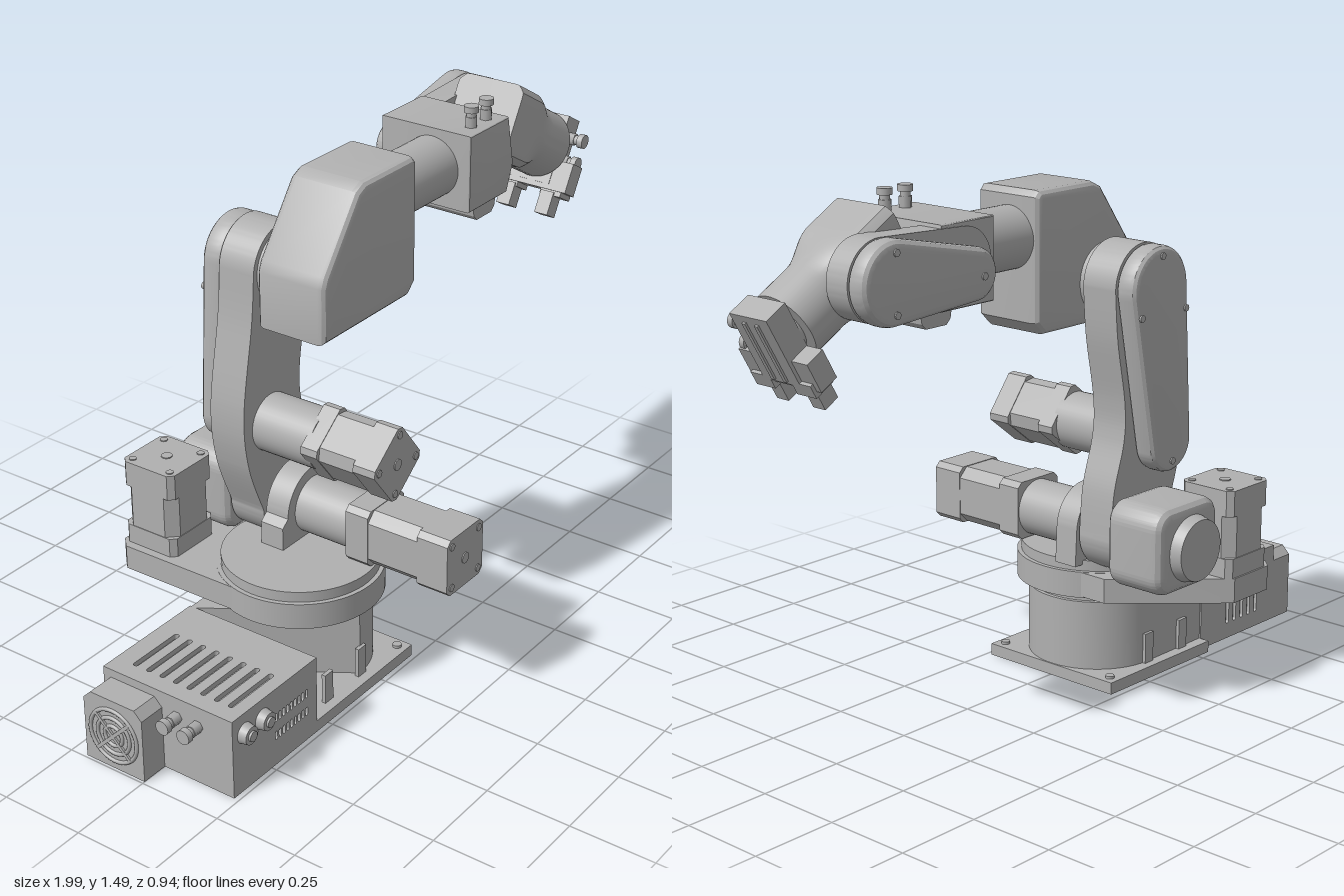
import * as THREE from 'three';
import { toCreasedNormals } from 'three/addons/utils/BufferGeometryUtils.js';

const grey = new THREE.MeshStandardMaterial({ color: 0xb0b0b0 });
grey.name = 'machine grey';

function add(parent, name, geo, x = 0, y = 0, z = 0) {
  const mesh = new THREE.Mesh(geo, grey);
  mesh.name = name;
  mesh.position.set(x, y, z);
  parent.add(mesh);
  return mesh;
}

// Box given by its limits
function box(parent, name, x0, x1, y0, y1, z0, z1) {
  return add(parent, name, new THREE.BoxGeometry(x1 - x0, y1 - y0, z1 - z0),
    (x0 + x1) / 2, (y0 + y1) / 2, (z0 + z1) / 2);
}

// Cylinder along an axis; r1 is the radius at the positive end
function cyl(axis, r1, r0, h, sides = 40) {
  const g = new THREE.CylinderGeometry(r1, r0, h, sides);
  if (axis === 'x') g.rotateZ(-Math.PI / 2);
  if (axis === 'z') g.rotateX(Math.PI / 2);
  return g;
}

// Extrusion from z0 to z1, with the bevel kept inside the outline
function extrude(shape, z0, z1, bevel = 0) {
  const g = new THREE.ExtrudeGeometry(shape, {
    depth: z1 - z0 - 2 * bevel, bevelEnabled: bevel > 0, bevelSize: bevel,
    bevelThickness: bevel, bevelOffset: -bevel, bevelSegments: 3, curveSegments: 24,
  });
  g.translate(0, 0, z0 + bevel);
  return toCreasedNormals(g, 0.5);
}

const poly = (pts) => new THREE.Shape(pts.map((p) => new THREE.Vector2(...p)));

function roundRect(x, y, w, h, r, target = new THREE.Shape()) {
  const a = x - w / 2, b = x + w / 2, c = y - h / 2, d = y + h / 2, q = Math.PI / 2;
  target.absarc(b - r, c + r, r, -q, 0);
  target.absarc(b - r, d - r, r, 0, q);
  target.absarc(a + r, d - r, r, q, 2 * q);
  target.absarc(a + r, c + r, r, 2 * q, 3 * q);
  target.closePath();
  return target;
}

// Two circles joined by their tangents
function capsule(x1, y1, r1, x2, y2, r2) {
  const phi = Math.atan2(y2 - y1, x2 - x1);
  const al = Math.acos((r1 - r2) / Math.hypot(x2 - x1, y2 - y1));
  const s = new THREE.Shape();
  s.absarc(x1, y1, r1, phi + al, phi - al + 2 * Math.PI);
  s.absarc(x2, y2, r2, phi - al, phi + al);
  s.closePath();
  return s;
}

// Flat panel centred on the origin with rounded slots [x, y, w, h]
function slottedPanel(w, h, t, slots) {
  const s = poly([[-w / 2, -h / 2], [w / 2, -h / 2], [w / 2, h / 2], [-w / 2, h / 2]]);
  for (const [x, y, sw, sh] of slots) {
    s.holes.push(roundRect(x, y, sw, sh, Math.min(sw, sh) * 0.49, new THREE.Path()));
  }
  return new THREE.ExtrudeGeometry(s, { depth: t, bevelEnabled: false, curveSegments: 4 });
}

function cornerCut(s, c) {
  const h = s / 2, k = h - c;
  return poly([[k, -h], [h, -k], [h, k], [k, h], [-k, h], [-h, k], [-h, -k], [-k, -h]]);
}

// Stepper motor along +z from z = 0, with end caps, hub and screws
function motor(name, s, len) {
  const g = new THREE.Group();
  g.name = name;
  add(g, 'motorCore', extrude(cornerCut(s * 0.98, s * 0.17), 0, len - 0.005));
  add(g, 'motorFlange', extrude(cornerCut(s, s * 0.09), 0, len * 0.22));
  add(g, 'motorEndCap', extrude(cornerCut(s, s * 0.09), len * 0.7, len - 0.003));
  add(g, 'motorHub', cyl('z', 0.016, 0.016, 0.01, 20), 0, 0, len - 0.005);
  for (const x of [-1, 1]) for (const y of [-1, 1]) {
    add(g, 'motorScrew', cyl('z', 0.011, 0.011, 0.01, 12), x * s * 0.37, y * s * 0.37, len - 0.005);
  }
  return g;
}

// Push-in hose fitting along +y from y = 0
function fitting(parent, x, y, z, rx = 0, rz = 0, k = 1) {
  const g = new THREE.Group();
  g.name = 'hoseFitting';
  add(g, 'fittingNut', cyl('y', 0.018, 0.018, 0.03, 6), 0, 0.015, 0);
  add(g, 'fittingNeck', cyl('y', 0.014, 0.014, 0.02, 16), 0, 0.035, 0);
  add(g, 'fittingCollar', cyl('y', 0.021, 0.021, 0.018, 20), 0, 0.052, 0);
  g.position.set(x, y, z);
  g.rotation.set(rx, 0, rz);
  g.scale.setScalar(k);
  parent.add(g);
}

function buildBase(root) {
  const g = new THREE.Group();
  g.name = 'base';
  root.add(g);
  const AX = -0.3;
  box(g, 'basePlate', -0.55, -0.1, 0, 0.035, -0.23, 0.235);
  for (const z of [-0.2, 0.205]) add(g, 'plateBolt', cyl('y', 0.013, 0.013, 0.01, 12), -0.13, 0.038, z);
  // Column with a round right end
  const col = new THREE.Shape();
  col.moveTo(-0.56, -0.195);
  col.absarc(AX, 0, 0.197, -Math.PI / 2, Math.PI / 2);
  col.lineTo(-0.56, 0.195);
  add(g, 'column', extrude(col, 0.03, 0.24).rotateX(-Math.PI / 2));
  for (const x of [-0.455, -0.3]) for (const s of [-1, 1]) {
    box(g, 'boltPocket', x - 0.018, x + 0.018, 0.03, 0.125, s * 0.2 - 0.006, s * 0.2 + 0.006);
  }
  add(g, 'neck', cyl('y', 0.185, 0.185, 0.04, 64), AX, 0.25, 0);
  // Electronics box with vented panels
  box(g, 'electronicsBox', -0.91, -0.55, 0, 0.225, -0.19, 0.225);
  const top = [], front = [], back = [];
  for (let i = 0; i < 8; i++) top.push([-0.04, -0.17 + i * 0.046, 0.18, 0.016]);
  for (let i = 0; i < 9; i++) for (const y of [-0.02, 0.037]) front.push([0.002 + i * 0.0165, y, 0.01, 0.026]);
  for (let i = 0; i < 5; i++) back.push([-0.09 + i * 0.035, 0, 0.014, 0.13]);
  add(g, 'topPanel', slottedPanel(0.36, 0.435, 0.015, top).rotateX(-Math.PI / 2), -0.73, 0.225, 0.0175);
  add(g, 'frontPanel', slottedPanel(0.36, 0.225, 0.01, front), -0.73, 0.1125, 0.225);
  add(g, 'backPanel', slottedPanel(0.36, 0.225, 0.01, back), -0.73, 0.1125, -0.2);
  for (const x of [-0.86, -0.785]) {
    add(g, 'connectorRing', cyl('z', 0.026, 0.03, 0.025, 24), x, 0.18, 0.247);
    add(g, 'connectorCore', cyl('z', 0.015, 0.015, 0.008, 16), x, 0.18, 0.262);
  }
  // Fan box with sloped edges
  const fanBox = poly([[-0.2, 0], [0, 0], [0, 0.19], [-0.025, 0.215], [-0.175, 0.215], [-0.2, 0.19]]);
  add(g, 'fanBox', extrude(fanBox, 0, 0.082).rotateY(-Math.PI / 2), -0.91, 0, 0);
  for (const r of [0.08, 0.055, 0.03]) {
    add(g, 'fanRing', new THREE.TorusGeometry(r, 0.006, 8, 32).rotateY(Math.PI / 2), -0.992, 0.105, -0.1);
  }
  for (const a of [0.785, -0.785]) {
    box(g, 'fanSpoke', -0.998, -0.988, 0.025, 0.185, -0.105, -0.095).rotation.x = a;
  }
  for (const z of [0.05, 0.12]) fitting(g, -0.91, 0.18, z, 0, Math.PI / 2);
}

function buildTurret(root) {
  const g = new THREE.Group();
  g.name = 'turret';
  root.add(g);
  add(g, 'turretDisc', cyl('y', 0.235, 0.235, 0.077, 72), -0.305, 0.3025, 0);
  add(g, 'turretTop', cyl('y', 0.222, 0.222, 0.032, 72), -0.305, 0.356, 0);
  const shelf = poly([[-0.53, 0], [-0.1, 0], [-0.1, 0.2], [-0.32, 0.44], [-0.35, 0.47], [-0.505, 0.47], [-0.535, 0.44]]);
  add(g, 'motorShelf', extrude(shelf, 0.268, 0.34).rotateX(-Math.PI / 2));
  const m = motor('turretMotor', 0.18, 0.26);
  m.rotation.x = -Math.PI / 2;
  m.position.set(-0.42, 0.34, -0.375);
  g.add(m);
  // Shoulder drive
  const bracket = new THREE.Shape();
  bracket.moveTo(-0.34, 0.36);
  bracket.lineTo(-0.08, 0.36);
  bracket.absarc(-0.2, 0.46, 0.115, 0, Math.PI);
  bracket.lineTo(-0.34, 0.44);
  add(g, 'shoulderBracket', extrude(bracket, -0.11, -0.035));
  add(g, 'shoulderGearbox', cyl('z', 0.083, 0.083, 0.2), -0.2, 0.46, 0.05);
  const sm = motor('shoulderMotor', 0.172, 0.335);
  sm.position.set(-0.2, 0.462, 0.14);
  g.add(sm);
  add(g, 'shoulderCover', extrude(roundRect(-0.19, 0.465, 0.27, 0.25, 0.06), -0.43, -0.24, 0.03));
  add(g, 'shoulderCap', cyl('z', 0.1, 0.088, 0.05), -0.2, 0.46, -0.438);
}

function buildUpperArm(root) {
  const g = new THREE.Group();
  g.name = 'upperArm';
  root.add(g);
  const s = new THREE.Shape();
  s.absarc(-0.2, 0.46, 0.115, Math.PI, 2 * Math.PI);
  s.splineThru([[-0.098, 0.6], [-0.138, 0.74], [-0.14, 0.85], [-0.107, 1.03], [-0.095, 1.17]].map((p) => new THREE.Vector2(...p)));
  s.absarc(-0.215, 1.17, 0.12, 0, Math.PI);
  s.splineThru([[-0.348, 1.04], [-0.39, 0.79], [-0.375, 0.62], [-0.315, 0.46]].map((p) => new THREE.Vector2(...p)));
  add(g, 'armLink', extrude(s, -0.235, -0.12));
  add(g, 'beltCover', extrude(capsule(-0.215, 1.17, 0.118, -0.272, 0.725, 0.088), -0.3, -0.23, 0.02));
  for (const [x, y] of [[-0.215, 1.26], [-0.13, 1.1], [-0.32, 1.1], [-0.272, 0.67]]) {
    add(g, 'coverScrew', cyl('z', 0.01, 0.01, 0.008, 12), x, y, -0.3);
  }
  add(g, 'elbowGearbox', cyl('z', 0.084, 0.084, 0.2), -0.272, 0.723, -0.03);
  const m = motor('elbowMotor', 0.162, 0.245);
  m.position.set(-0.272, 0.723, 0.058);
  m.rotation.z = 0.66;
  g.add(m);
  add(g, 'elbowHub', cyl('z', 0.105, 0.105, 0.04), -0.215, 1.17, -0.108);
}

function buildForearm(root) {
  const g = new THREE.Group();
  g.name = 'forearm';
  root.add(g);
  const house = poly([[-0.357, 1.05], [0.03, 1.05], [0.065, 1.085], [0.065, 1.43], [0.05, 1.447],
    [-0.17, 1.447], [-0.205, 1.43], [-0.345, 1.24], [-0.357, 1.21]]);
  add(g, 'elbowHousing', extrude(house, -0.095, 0.127, 0.022));
  add(g, 'forearmTube', cyl('x', 0.088, 0.088, 0.27, 48), 0.18, 1.313, 0.008);
  const block = poly([[0.305, 1.2], [0.5, 1.2], [0.53, 1.28], [0.5, 1.425], [0.305, 1.425]]);
  add(g, 'wristBlock', extrude(block, -0.162, 0.135, 0.006));
  const boss = poly([[0.375, 1.21], [0.385, 1.155], [0.4, 1.14], [0.475, 1.14], [0.49, 1.155], [0.5, 1.21]]);
  add(g, 'blockFoot', extrude(boss, -0.08, 0.1));
  for (const x of [0.375, 0.45]) fitting(g, x, 1.425, 0.09);
  add(g, 'wristArm', extrude(capsule(0.42, 1.312, 0.1, 0.72, 1.317, 0.108), -0.165, -0.09));
  add(g, 'wristBeltCover', extrude(capsule(0.425, 1.295, 0.07, 0.72, 1.317, 0.11), -0.226, -0.16, 0.022));
  for (const [x, y] of [[0.41, 1.29], [0.72, 1.395], [0.72, 1.24]]) {
    add(g, 'coverScrew', cyl('z', 0.01, 0.01, 0.008, 12), x, y, -0.226);
  }
}

function buildHand(root) {
  const g = new THREE.Group();
  g.name = 'hand';
  g.position.set(0.557, 1.385, 0.01);
  g.rotation.z = -Math.PI / 6;
  root.add(g);
  // Head blends from a rounded square into a round neck
  const geo = new THREE.CylinderGeometry(1, 1, 0.37, 64, 24);
  const p = geo.attributes.position;
  for (let i = 0; i < p.count; i++) {
    const x = p.getX(i), z = p.getZ(i), y = p.getY(i) + 0.185;
    const t = THREE.MathUtils.smoothstep(y, 0.12, 0.25);
    const m = Math.max(Math.abs(x), Math.abs(z)) || 1;
    const sq = Math.min(0.108 / m, 0.138);
    const r = sq + (0.1 - sq) * t;
    p.setXYZ(i, x * r, y, z * r);
  }
  geo.rotateZ(-Math.PI / 2);
  add(g, 'wristHead', toCreasedNormals(geo, 0.5));
  add(g, 'wristPivot', cyl('z', 0.085, 0.085, 0.06), 0.174, 0.01, -0.1);
  add(g, 'toolFlange', cyl('x', 0.07, 0.07, 0.02), 0.375, 0, 0);
  // Gripper
  box(g, 'gripperBody', 0.378, 0.45, -0.11, 0.1, -0.07, 0.065);
  box(g, 'gripperRail', 0.38, 0.44, -0.125, -0.035, -0.127, 0.125);
  for (const z of [-0.025, 0.02]) box(g, 'gripperRib', 0.45, 0.456, -0.1, 0.08, z - 0.006, z + 0.006);
  for (const s of [-1, 1]) {
    box(g, 'fingerBase', 0.385, 0.45, -0.14, -0.1, s * 0.075 - 0.035, s * 0.075 + 0.035);
    box(g, 'finger', 0.38, 0.43, -0.2, -0.13, s * 0.067 - 0.022, s * 0.067 + 0.022);
  }
  for (const v of [-0.03, 0.04]) fitting(g, 0.415, v, 0.06, Math.PI / 2, 0, 1);
}

export function createModel() {
  const root = new THREE.Group();
  root.name = 'robotArm';
  for (const part of [buildBase, buildTurret, buildUpperArm, buildForearm, buildHand]) part(root);
  return root;
}
